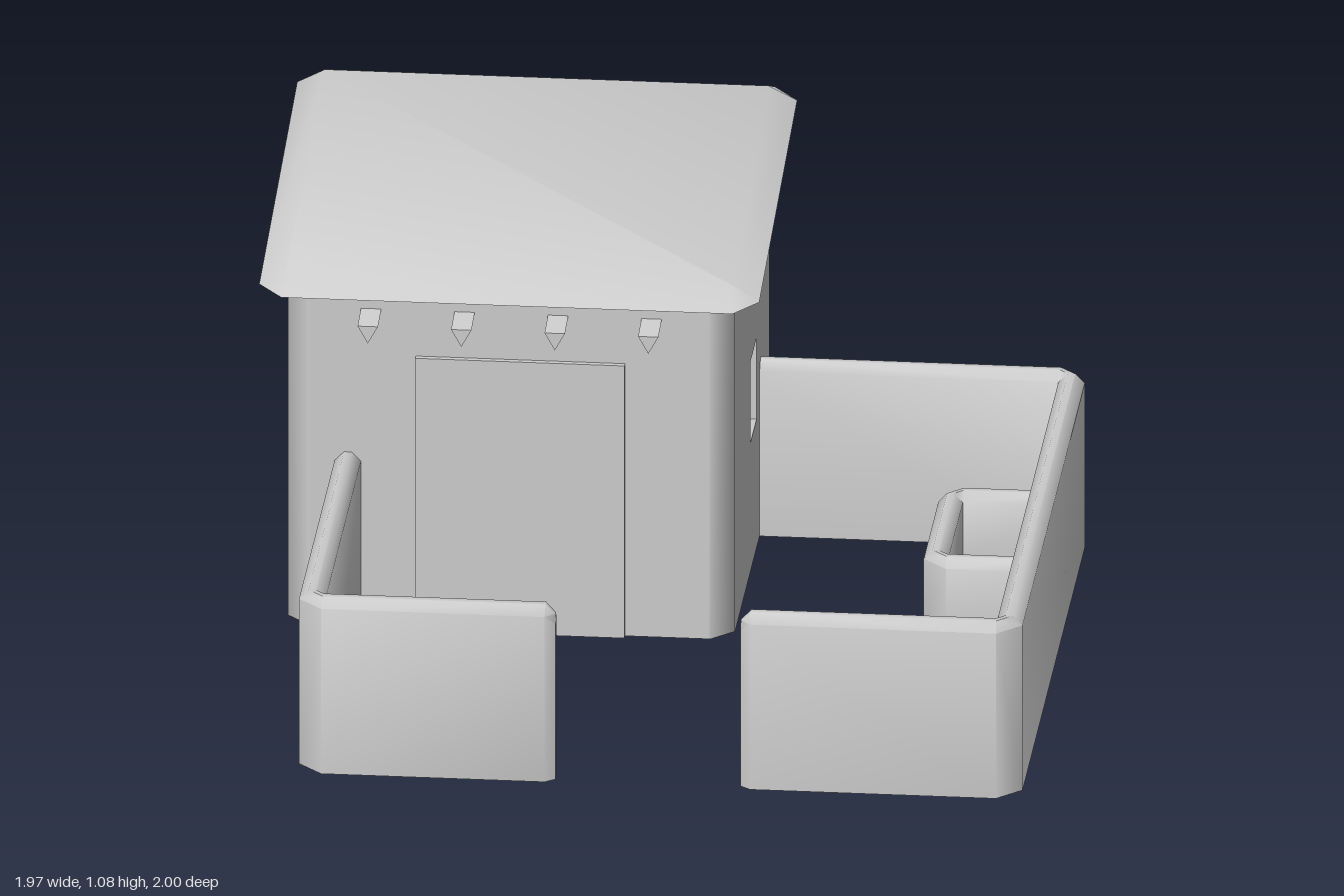
import * as THREE from 'three';
import { toCreasedNormals } from 'three/addons/utils/BufferGeometryUtils.js';

const roofY = z => 0.903 - 0.1495 * z; // height of the sloping roof underside
const T = 0.06; // house wall thickness
const X0 = -0.92, X1 = 0.18, Z0 = -0.91, Z1 = 0.04; // house footprint

const poly = pts => new THREE.Shape(pts.map(p => new THREE.Vector2(p[0], p[1])));
const rect = (a, b, c, d) => [[a, b], [c, b], [c, d], [a, d]];

// Wall panel from an elevation outline with an optional opening
function panel(outline, hole, depth = T) {
  const s = poly(outline);
  if (hole) s.holes.push(poly(hole));
  return new THREE.ExtrudeGeometry(s, { depth, bevelEnabled: false });
}

// Skin over a row of convex cross-sections of [x, y, z], closed at both ends
function loft(rings) {
  const n = rings[0].length, pos = [];
  const tri = (...pts) => pts.forEach(p => pos.push(...p));
  for (let i = 0; i < rings.length - 1; i++) {
    for (let j = 0; j < n; j++) {
      const k = (j + 1) % n, r = rings[i], s = rings[i + 1];
      tri(r[j], r[k], s[k]);
      tri(r[j], s[k], s[j]);
    }
  }
  const first = rings[0], last = rings[rings.length - 1];
  for (let j = 1; j < n - 1; j++) {
    tri(first[0], first[j + 1], first[j]);
    tri(last[0], last[j], last[j + 1]);
  }
  const geo = new THREE.BufferGeometry();
  geo.setAttribute('position', new THREE.Float32BufferAttribute(pos, 3));
  return geo;
}

// Low wall with a bevelled top; stations are [outer x, outer z, inner x, inner z, height]
function lowWall(stations, height) {
  return loft(stations.map(([ox, oz, ix, iz, h = height]) => {
    const at = (t, y) => [ox + (ix - ox) * t, y, oz + (iz - oz) * t];
    return [at(0, 0), at(0, h - 0.024), at(0.36, h), at(0.64, h), at(1, h - 0.024), at(1, 0)];
  }));
}

// Chamfered rectangle lying parallel to the roof slope
function roofRing(x0, x1, z0, z1, c, lift) {
  const plan = [[x0 + c, z0], [x1 - c, z0], [x1, z0 + c], [x1, z1 - c],
    [x1 - c, z1], [x0 + c, z1], [x0, z1 - c], [x0, z0 + c]];
  return plan.map(([x, z]) => [x, roofY(z) + lift, z]);
}

export function createModel() {
  const model = new THREE.Group();
  const mat = new THREE.MeshStandardMaterial({ color: 0xcccccc, side: THREE.DoubleSide });
  const add = (name, geo, parent = model) => {
    const m = new THREE.Mesh(toCreasedNormals(geo, 0.85), mat);
    m.name = name;
    parent.add(m);
  };

  // House walls, hollow and open underneath
  const house = new THREE.Group();
  house.name = 'houseWalls';
  model.add(house);
  const doorway = [[-0.58, 0], [-0.58, 0.7], [-0.1, 0.7], [-0.1, 0]];
  add('frontWall', panel([[X0 + T, 0], ...doorway, [X1 - T, 0], [X1 - T, 0.902], [X0 + T, 0.902]])
    .translate(0, 0, Z1 - T), house);
  add('backWall', panel(rect(X0 + T, 0, X1 - T, 1.043)).translate(0, 0, Z0), house);

  // Side walls, each with a window recess closed by a thin pane on the inside
  const sides = [['left', X1 - T, X1 - T, -0.56, -0.41], ['right', X0, X0 + T - 0.01, -0.42, -0.26]];
  for (const [side, x, paneX, wz0, wz1] of sides) {
    const za = Z1 - T, zb = Z0 + T;
    const outline = [[-za, 0], [-zb, 0], [-zb, roofY(zb) + 0.005], [-za, roofY(za) + 0.005]];
    const window = rect(-wz1, 0.34, -wz0, 0.555);
    add(side + 'Wall', panel(outline, window).rotateY(Math.PI / 2).translate(x, 0, 0), house);
    add(side + 'WindowPane', panel(window, null, 0.01).rotateY(Math.PI / 2).translate(paneX, 0, 0), house);
  }

  // Chamfered corner posts
  for (const [x, sx] of [[X0, -1], [X1, 1]]) {
    for (const [z, sz] of [[Z0, -1], [Z1, 1]]) {
      const cx = 0.055, cz = sx > 0 && sz < 0 ? 0.03 : 0.055;
      const xi = x - sx * T, zi = z - sz * T;
      const plan = [[xi, zi], [xi, z], [x - sx * cx, z], [x, z - sz * cz], [x, zi]];
      add('cornerPost', loft([
        plan.map(([px, pz]) => [px, 0, pz]),
        plan.map(([px, pz]) => [px, roofY(pz) + 0.005, pz]),
      ]), house);
    }
  }

  // Door covering the doorway
  add('door', panel(rect(-0.6, 0, -0.085, 0.72), null, 0.025).translate(0, 0, 0.03));

  // Sloping roof: chamfered outline below, smaller rectangle on top
  add('roof', loft([
    roofRing(-0.985, 0.245, -0.978, 0.103, 0.06, 0),
    roofRing(X0, X1, Z0, Z1, 0.004, 0.04),
  ]));

  // Roof beams running through and poking out front and back
  for (let i = 0; i < 4; i++) {
    const x = -0.71 + i * 0.23;
    add('roofBeam', loft([-1, 0.125].map(z => {
      const y = roofY(z) - 0.056;
      return [[x - 0.025, y, z], [x, y - 0.045, z], [x + 0.025, y, z]];
    })));
  }

  // Yard walls on both sides of the gateway
  add('rightYardWall', lowWall([
    [-0.8, 0, -0.735, 0], [-0.8, 0.94, -0.735, 0.935], [-0.74, 1, -0.735, 0.935],
    [-0.19, 1, -0.19, 0.935], [-0.165, 0.98, -0.165, 0.955, 0.435],
  ], 0.46));
  add('leftYardWall', lowWall([
    [0.13, -0.695, 0.13, -0.635], [0.92, -0.695, 0.915, -0.635], [0.98, -0.635, 0.915, -0.635],
    [0.98, 0.94, 0.915, 0.935], [0.92, 1, 0.915, 0.935], [0.315, 1, 0.315, 0.935],
    [0.29, 0.98, 0.29, 0.955, 0.435],
  ], 0.46));

  // Low pen against the yard wall
  add('pen', lowWall([
    [0.94, -0.59, 0.94, -0.53], [0.69, -0.59, 0.69, -0.53], [0.63, -0.53, 0.69, -0.53],
    [0.63, -0.16, 0.69, -0.16], [0.69, -0.1, 0.69, -0.16], [0.94, -0.1, 0.94, -0.16],
  ], 0.175));

  return model;
}
